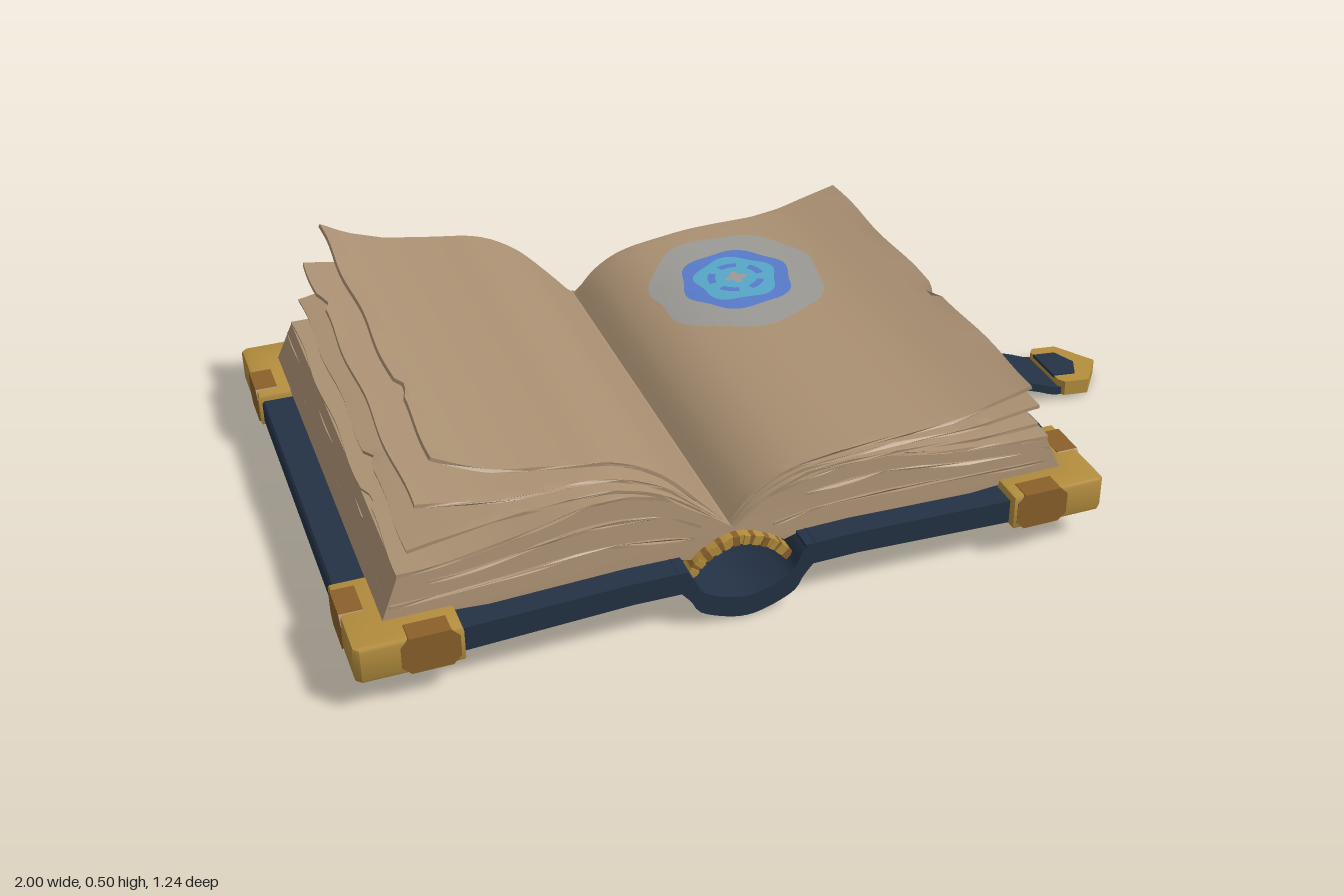
import * as THREE from 'three';
import { toCreasedNormals } from 'three/addons/utils/BufferGeometryUtils.js';

const mat = (name, color, side = THREE.FrontSide) => {
  const m = new THREE.MeshStandardMaterial({ color, side });
  m.name = name;
  return m;
};
const navy = mat('navy leather', 0x243245);
const gold = mat('gold', 0xb38d3d);
const darkGold = mat('worn gold', 0x8a602a);
const paper = mat('old paper', 0xab9173);
const glow = mat('rune glow', 0x9c9b96, THREE.DoubleSide);
const blue = mat('rune blue', 0x587ccb, THREE.DoubleSide);
const cyan = mat('rune cyan', 0x56a8c8, THREE.DoubleSide);

const V = (p) => p.map(([x, y]) => new THREE.Vector2(x, y));
const spline = (p, n = 30) => new THREE.SplineCurve(V(p)).getSpacedPoints(n);

function add(parent, name, geo, material) {
  const m = new THREE.Mesh(geo, material);
  m.name = name;
  parent.add(m);
  return m;
}

// Side profile in x/y, extruded along z and centred
function prism(points, halfZ, steps = 1) {
  const geo = new THREE.ExtrudeGeometry(new THREE.Shape(points), { depth: 2 * halfZ, steps, bevelEnabled: false });
  return geo.translate(0, 0, -halfZ);
}

// Thin strip of even thickness following a curve
function strip(points, thick) {
  const offset = (s) => points.map((p, i) => {
    const a = points[Math.max(i - 1, 0)], b = points[Math.min(i + 1, points.length - 1)];
    const l = Math.hypot(b.x - a.x, b.y - a.y);
    return new THREE.Vector2(p.x - s * (b.y - a.y) / l, p.y + s * (b.x - a.x) / l);
  });
  return [...offset(thick / 2), ...offset(-thick / 2).reverse()];
}

// Page with a slightly torn outer edge and small nicks
function page(profile, halfZ, seed) {
  const pts = spline(profile);
  const tip = pts[pts.length - 1].x, dir = Math.sign(tip + 0.18);
  const geo = prism(strip(pts, 0.008), halfZ, 40);
  const pos = geo.attributes.position;
  for (let i = 0; i < pos.count; i++) {
    const x = pos.getX(i), z = pos.getZ(i);
    if (Math.abs(x - tip) < 0.015) {
      const nick = Math.max(0, 1 - Math.abs(z - 0.33 * Math.sin(seed * 2.3)) / 0.03);
      pos.setX(i, x - dir * (0.004 * (1 + Math.sin(z * 17 + seed * 3)) + 0.018 * nick));
    }
    if (Math.abs(z) > halfZ - 0.001) pos.setZ(i, z + 0.004 * Math.sin(x * 23 + seed * 5));
  }
  return toCreasedNormals(geo, 0.6);
}

// Polar patch laid on a height function, between two outlines
function decal(cx, cz, inner, outer, height, lift, a0 = 0, a1 = Math.PI * 2) {
  const pos = [], idx = [], N = 60, R = 5;
  for (let i = 0; i <= N; i++) {
    const a = a0 + (a1 - a0) * i / N;
    for (let j = 0; j <= R; j++) {
      const r = THREE.MathUtils.lerp(inner(a), outer(a), j / R);
      const x = cx + r * Math.cos(a);
      pos.push(x, height(x) + lift, cz - r * Math.sin(a));
      if (i < N && j < R) {
        const k = i * (R + 1) + j;
        idx.push(k, k + 1, k + R + 2, k, k + R + 2, k + R + 1);
      }
    }
  }
  const geo = new THREE.BufferGeometry();
  geo.setAttribute('position', new THREE.Float32BufferAttribute(pos, 3));
  geo.setIndex(idx);
  geo.computeVertexNormals();
  return geo;
}

// Plate clad around one cover corner, with worn patches on both arms
function cornerGuard(sx, sz) {
  const g = new THREE.Group();
  g.name = 'cornerGuard';
  const ox = sx < 0 ? -1 : 0.655, oz = sz * 0.62, w = 0.1, c = 0.012;
  const L = [[c, 0], [0.22, 0], [0.22, w - 0.02], [0.2, w], [w, w], [w, 0.235], [0, 0.235], [0, c]];
  const shape = new THREE.Shape(V(L.map(([u, v]) => [ox - sx * u, oz - sz * v])));
  const geo = new THREE.ExtrudeGeometry(shape, {
    depth: 0.066, bevelThickness: 0.008, bevelSize: 0.008, bevelOffset: -0.008, bevelSegments: 2,
  });
  add(g, 'guardPlate', toCreasedNormals(geo.rotateX(Math.PI / 2).translate(0, 0.152, 0), 0.7), gold);
  const h = 0.0425, k = 0.018;
  const worn = (a) => prism(V([[-a, k - h], [k - a, -h], [a - k, -h], [a, k - h], [a, h - k], [a - k, h], [k - a, h], [-a, h - k]]), 0.025);
  add(g, 'wornPatch', worn(0.06), darkGold).position.set(ox - sx * 0.152, 0.119, oz - sz * 0.0235);
  const side = add(g, 'wornPatch', worn(0.06), darkGold);
  side.rotation.y = Math.PI / 2;
  side.position.set(ox - sx * 0.0235, 0.119, oz - sz * 0.167);
  return g;
}

export function createModel() {
  const book = new THREE.Group();
  book.name = 'openBook';

  // Cover boards, mirrored about the spine at x = -0.173
  const mid = -0.173;
  for (const s of [-1, 1]) {
    const board = [[0.13, 0.098], [0.25, 0.1], [0.62, 0.085], [0.815, 0.083], [0.82, 0.09], [0.82, 0.137],
      [0.815, 0.143], [0.62, 0.141], [0.25, 0.152], [0.13, 0.15]];
    add(book, 'coverBoard', toCreasedNormals(prism(V(board.map(([x, y]) => [mid + s * x, y])), 0.6), 0.5), navy);
    for (const z of [-1, 1]) book.add(cornerGuard(s, z));
  }

  // Rounded hollow spine
  const outer = spline([[-0.325, 0.105], [-0.3, 0.075], [-0.27, 0.035], [-0.173, 0.005], [-0.076, 0.035], [-0.046, 0.075], [-0.02, 0.105]], 24);
  const inner = spline([[-0.02, 0.152], [-0.05, 0.135], [-0.08, 0.085], [-0.173, 0.055], [-0.266, 0.085], [-0.296, 0.135], [-0.325, 0.152]], 24);
  add(book, 'spine', toCreasedNormals(prism([...outer, ...inner], 0.6), 0.6), navy);

  // Page blocks, hollowed where they arch over the spine
  const blocks = [
    { top: [[-0.18, 0.19], [-0.24, 0.235], [-0.31, 0.285], [-0.42, 0.312], [-0.52, 0.307], [-0.66, 0.272], [-0.78, 0.255], [-0.885, 0.25]],
      base: [[-0.925, 0.158], [-0.7, 0.143], [-0.31, 0.146], [-0.275, 0.135], [-0.24, 0.16], [-0.18, 0.178]] },
    { top: [[-0.18, 0.19], [-0.12, 0.23], [-0.04, 0.262], [0.08, 0.28], [0.2, 0.275], [0.34, 0.25], [0.45, 0.24], [0.55, 0.238]],
      base: [[0.585, 0.158], [0.36, 0.143], [-0.035, 0.146], [-0.07, 0.135], [-0.105, 0.16], [-0.18, 0.178]] },
  ];
  for (const b of blocks) {
    const geo = prism([...spline(b.top, 28), ...V(b.base)], 0.545);
    const pos = geo.attributes.position;
    for (let i = 0; i < pos.count; i++) pos.setZ(i, pos.getZ(i) * (1 - 0.2 * Math.max(0, pos.getY(i) - 0.15)));
    add(book, 'pageBlock', toCreasedNormals(geo, 0.6), paper);
    // Slightly uneven leaves standing proud of the block
    for (const f of [0.35, 0.7, 1.02]) {
      const leaf = b.top.slice(1).map(([x, y]) => [x + Math.sign(x + 0.18) * 0.035 * (1.1 - f), 0.152 + (y - 0.152) * f]);
      add(book, 'blockLeaf', page(leaf, 0.546 - 0.012 * f, f * 9), paper);
    }
  }

  // Loose leaves lifting away from the blocks
  const topRight = [[-0.185, 0.19], [-0.13, 0.25], [-0.05, 0.293], [0.06, 0.312], [0.2, 0.318], [0.36, 0.33], [0.515, 0.37]];
  const leaves = [
    [[-0.19, 0.19], [-0.26, 0.27], [-0.34, 0.35], [-0.43, 0.4], [-0.55, 0.417], [-0.68, 0.445], [-0.8, 0.497]],
    [[-0.19, 0.19], [-0.26, 0.26], [-0.34, 0.325], [-0.44, 0.365], [-0.57, 0.372], [-0.7, 0.378], [-0.845, 0.403]],
    [[-0.19, 0.19], [-0.26, 0.25], [-0.34, 0.308], [-0.44, 0.338], [-0.57, 0.341], [-0.7, 0.331], [-0.865, 0.308]],
    topRight,
    [[-0.185, 0.19], [-0.13, 0.242], [-0.05, 0.281], [0.06, 0.3], [0.2, 0.303], [0.36, 0.302], [0.53, 0.318]],
    [[-0.185, 0.19], [-0.13, 0.236], [-0.05, 0.271], [0.06, 0.29], [0.2, 0.287], [0.36, 0.276], [0.535, 0.275]],
  ];
  leaves.forEach((p, i) => add(book, 'looseLeaf', page(p, 0.525 + 0.006 * (i % 3), i + 1), paper));

  // Glowing rune lying on the right-hand leaf
  const line = spline(topRight);
  const height = (x) => {
    const i = Math.max(1, line.findIndex((p) => p.x > x));
    const a = line[i - 1], b = line[i];
    return a.y + (b.y - a.y) * (x - a.x) / (b.x - a.x) + 0.004;
  };
  const rune = new THREE.Group();
  rune.name = 'rune';
  book.add(rune);
  const ring = (r, wob, n) => (a) => r * (1 + 0.08 * Math.abs(Math.sin(a)) + wob * Math.sin(n * a + 0.6));
  const layer = (name, r0, r1, m, lift, a0, a1) => add(rune, name, decal(0.13, -0.235, r0, r1, height, lift, a0, a1), m);
  layer('runeGlow', () => 0, (a) => ring(0.195, 0.03, 7)(a) * (1 + 0.06 * Math.abs(Math.sin(a))), glow, 0.002);
  layer('runeShield', () => 0, ring(0.128, 0.05, 6), blue, 0.004);
  layer('runeField', () => 0, ring(0.094, 0.07, 5), cyan, 0.006);
  for (let i = 0; i < 5; i++) {
    const a = Math.PI / 2 + i * Math.PI * 0.4;
    layer('runeStroke', () => 0.05, () => 0.068, blue, 0.008, a - 0.38, a + 0.38);
  }
  layer('runeHeart', () => 0, (a) => 0.022 + 0.006 * Math.cos(4 * a), glow, 0.008);

  // Stitched headbands arching over both ends of the spine
  const arch = spline([[-0.29, 0.105], [-0.25, 0.148], [-0.18, 0.172], [-0.11, 0.148], [-0.065, 0.105]], 24);
  for (const s of [-1, 1]) {
    const band = new THREE.Group();
    band.name = 'headband';
    book.add(band);
    for (let i = 0; i < 24; i++) {
      const a = arch[i], b = arch[i + 1];
      const st = add(band, 'stitch', new THREE.BoxGeometry(0.0135, 0.022, 0.03 + 0.008 * (i % 2)), i % 3 === 2 ? darkGold : gold);
      st.position.set((a.x + b.x) / 2, (a.y + b.y) / 2, s * 0.546);
      st.rotation.z = Math.atan2(b.y - a.y, b.x - a.x);
    }
  }

  // Clasp strap with a pointed metal tip
  const strap = spline([[0.59, 0.016], [0.64, 0.024], [0.7, 0.05], [0.75, 0.06], [0.8, 0.046], [0.85, 0.027], [0.9, 0.026]], 24);
  add(book, 'claspStrap', toCreasedNormals(prism(strip(strap, 0.02), 0.078), 0.6), navy);
  const plate = (pts, depth, y) => {
    const geo = new THREE.ExtrudeGeometry(new THREE.Shape(V(pts)), { depth, bevelEnabled: false });
    geo.rotateX(Math.PI / 2).translate(0, y, 0);
    const pos = geo.attributes.position;
    for (let i = 0; i < pos.count; i++) pos.setY(i, pos.getY(i) - 0.1 * (pos.getX(i) - 0.86));
    geo.computeVertexNormals();
    return geo;
  };
  add(book, 'claspTip', plate([[0.858, -0.07], [0.87, -0.085], [0.935, -0.085], [1, 0], [0.935, 0.085], [0.87, 0.085], [0.858, 0.07]], 0.038, 0.054), gold);
  add(book, 'claspInlay', plate([[0.856, -0.052], [0.915, -0.052], [0.94, 0], [0.915, 0.052], [0.856, 0.052]], 0.008, 0.057), navy);
  return book;
}
